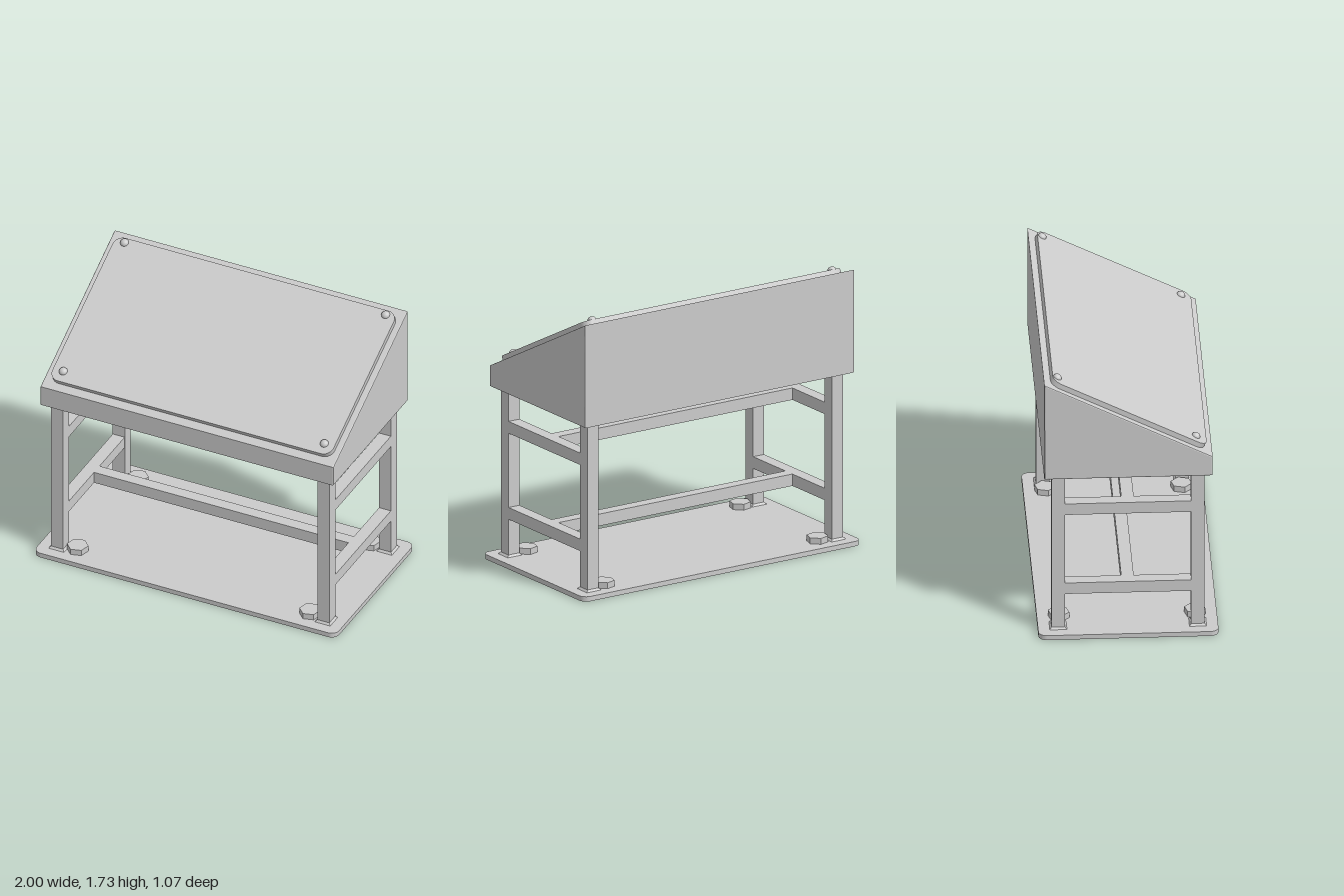
import * as THREE from 'three';

const material = new THREE.MeshStandardMaterial({ color: 0xcccccc });

function add(parent, name, geometry, x = 0, y = 0, z = 0) {
  const mesh = new THREE.Mesh(geometry, material);
  mesh.name = name;
  mesh.position.set(x, y, z);
  parent.add(mesh);
  return mesh;
}

// Flat plate with rounded corners, lying on y = 0
function roundedPlate(width, depth, radius, thickness) {
  const w = width / 2, d = depth / 2, r = radius;
  const shape = new THREE.Shape();
  shape.absarc(w - r, d - r, r, 0, Math.PI / 2);
  shape.absarc(-w + r, d - r, r, Math.PI / 2, Math.PI);
  shape.absarc(-w + r, -d + r, r, Math.PI, Math.PI * 1.5);
  shape.absarc(w - r, -d + r, r, Math.PI * 1.5, Math.PI * 2);
  shape.closePath();
  return new THREE.ExtrudeGeometry(shape, { depth: thickness, bevelEnabled: false, curveSegments: 8 })
    .rotateX(-Math.PI / 2);
}

export function createModel() {
  const model = new THREE.Group();
  model.name = 'slopedConsole';

  // Floor plate
  add(model, 'basePlate', roundedPlate(2, 1.07, 0.05, 0.03));

  // Legs with weld collars, and hexagonal anchor nuts beside them
  const legHeight = 1.05;
  const leg = new THREE.BoxGeometry(0.08, legHeight, 0.08);
  const collar = new THREE.CylinderGeometry(0.04 * Math.SQRT2, 0.052 * Math.SQRT2, 0.014, 4)
    .rotateY(Math.PI / 4).toNonIndexed();
  collar.computeVertexNormals();
  const nut = new THREE.CylinderGeometry(0.065, 0.065, 0.038, 6).rotateY(Math.PI / 4).toNonIndexed();
  nut.computeVertexNormals();
  for (const sx of [-1, 1]) {
    for (const sz of [-1, 1]) {
      add(model, 'leg', leg, sx * 0.88, 0.03 + legHeight / 2, sz * 0.415);
      add(model, 'legCollar', collar, sx * 0.88, 0.036, sz * 0.415);
      add(model, 'anchorNut', nut, sx * 0.768, 0.048, sz * 0.405);
    }
  }

  // Two levels of rails: one on each side, joined by a long middle rail
  const sideRail = new THREE.BoxGeometry(0.078, 0.074, 0.75);
  const middleRail = new THREE.BoxGeometry(1.682, 0.074, 0.074);
  for (const y of [0.302, 0.838]) {
    for (const sx of [-1, 1]) add(model, 'sideRail', sideRail, sx * 0.88, y, 0);
    add(model, 'middleRail', middleRail, 0, y, 0);
  }

  // Wedge-shaped housing with softened side edges
  const profile = new THREE.Shape([[0.5, 1.07], [0.5, 1.2], [-0.5, 1.71], [-0.5, 1.07]]
    .map(([z, y]) => new THREE.Vector2(z, y)));
  const bevel = 0.008;
  const length = 1.94 - 2 * bevel;
  const housing = new THREE.ExtrudeGeometry(profile, {
    depth: length, bevelThickness: bevel, bevelSize: bevel, bevelOffset: -bevel, bevelSegments: 2,
  });
  housing.translate(0, 0, -length / 2).rotateY(-Math.PI / 2);
  add(model, 'housing', housing);

  // Sloped cover plate and its four domed bolts
  const cover = new THREE.Group();
  cover.name = 'cover';
  cover.position.set(0, 1.455, 0);
  cover.rotation.x = Math.atan(0.51);
  model.add(cover);
  add(cover, 'coverPlate', roundedPlate(1.86, 1.026, 0.06, 0.032), 0, 0, -0.003);

  const dome = new THREE.SphereGeometry(0.026, 20, 8, 0, Math.PI * 2, 0, Math.PI / 2).scale(1, 0.85, 1);
  for (const x of [-0.863, 0.863]) {
    for (const z of [-0.485, 0.44]) add(cover, 'coverBolt', dome, x, 0.032, z);
  }

  return model;
}
